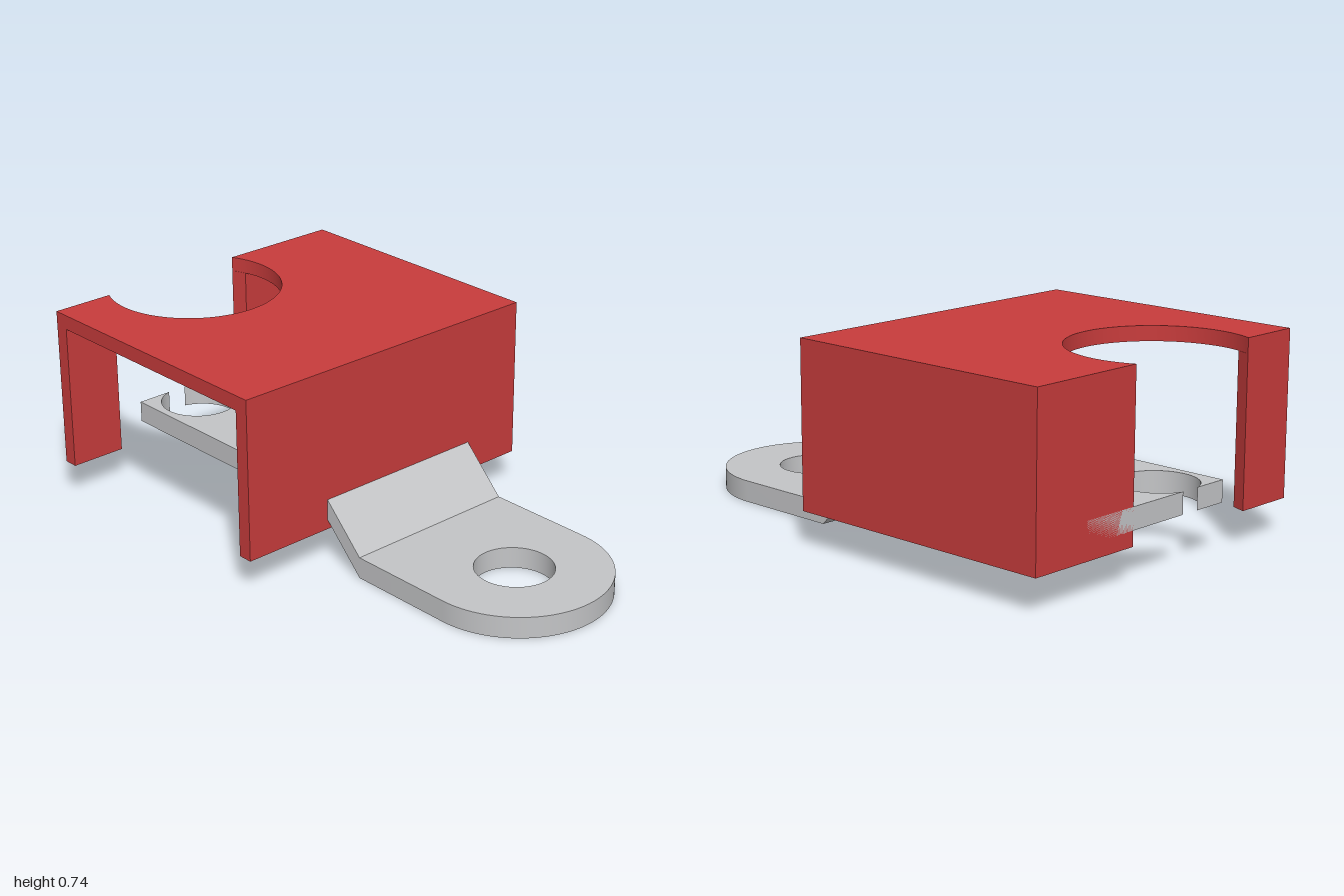
import * as THREE from 'three';
import { toCreasedNormals } from 'three/addons/utils/BufferGeometryUtils.js';

export function createModel() {
  const model = new THREE.Group();
  const red = new THREE.MeshStandardMaterial({ color: 0xc83c3c });
  red.name = 'red housing';
  const grey = new THREE.MeshStandardMaterial({ color: 0xc4c5c7 });
  grey.name = 'grey metal';

  const add = (name, geometry, material, parent) => {
    const mesh = new THREE.Mesh(geometry, material);
    mesh.name = name;
    parent.add(mesh);
    return mesh;
  };
  // Extrudes a plan outline (shape x, y = model x, z) between two heights
  const slab = (shape, bottom, top) => {
    const g = new THREE.ExtrudeGeometry(shape, { depth: top - bottom, bevelEnabled: false, curveSegments: 40 });
    g.rotateX(Math.PI / 2).translate(0, top, 0);
    return toCreasedNormals(g, 0.5);
  };
  const polygon = (points) => new THREE.Shape(points.map(([x, z]) => new THREE.Vector2(x, z)));

  const X0 = -1, X1 = 0.075, Z = 0.645, WALL = 0.055;
  const BOTTOM = 0.13, TOP = 0.735, ROOF = TOP - WALL;
  const CX = -0.86, CZ = 0.115, CUT = 0.325;

  // Ends of a circular cut where it meets the line at x
  const cutHalf = (r, x) => Math.sqrt(r * r - (x - CX) ** 2);

  // Rectangle with a round cut that breaks through its left edge
  const notched = (x1, z0, z1, r) => {
    const half = cutHalf(r, X0);
    const a = Math.atan2(half, X0 - CX);
    const s = polygon([[X0, z0], [x1, z0], [x1, z1], [X0, z1], [X0, CZ + half]]);
    s.absarc(CX, CZ, r, a, -a, true);
    s.closePath();
    return s;
  };

  // Housing, open at the front and underneath
  const housing = new THREE.Group();
  housing.name = 'housing';
  model.add(housing);
  add('roof', slab(notched(X1, -Z, Z, CUT), ROOF, TOP), red, housing);
  const inX0 = X0 + WALL, inX1 = X1 - WALL;
  const outer = cutHalf(CUT, X0), inner = cutHalf(CUT, inX0);
  add('walls', slab(polygon([
    [X0, -Z], [X1, -Z], [X1, Z], [inX1, Z], [inX1, -Z + WALL],
    [inX0, -Z + WALL], [inX0, CZ - inner], [X0, CZ - outer],
  ]), BOTTOM, ROOF), red, housing);
  add('frontLeg', slab(polygon([
    [X0, CZ + outer], [inX0, CZ + inner], [inX0, Z], [X0, Z],
  ]), BOTTOM, ROOF), red, housing);
  // Ledge along the foot of the back wall
  add('backLip', slab(polygon([
    [inX0, -Z + WALL], [inX1, -Z + WALL], [inX1, -0.515], [inX0, -0.515],
  ]), BOTTOM, 0.165), red, housing);

  // Bent metal strip with a hole at each end
  const strip = new THREE.Group();
  strip.name = 'bracket';
  model.add(strip);
  const Z0 = -0.405, Z1 = 0.29, MID = (Z0 + Z1) / 2, R = (Z1 - Z0) / 2;
  const T = 0.08, H = 0.185, BEND0 = 0.055, BEND1 = 0.24, LUG = 1 - R;
  add('plate', slab(notched(BEND0, Z0, Z1, 0.145), H, H + T), grey, strip);

  const slope = new THREE.ExtrudeGeometry(
    polygon([[BEND0, H], [BEND1, 0], [BEND1, T], [BEND0, H + T]]),
    { depth: Z1 - Z0, bevelEnabled: false });
  add('slope', slope.translate(0, 0, Z0), grey, strip);

  const lug = polygon([[BEND1, Z0], [LUG, Z0]]);
  lug.absarc(LUG, MID, R, -Math.PI / 2, Math.PI / 2, false);
  lug.lineTo(BEND1, Z1);
  lug.closePath();
  const hole = new THREE.Path();
  hole.absarc(LUG, MID, 0.142, 0, Math.PI * 2, true);
  lug.holes.push(hole);
  add('lug', slab(lug, 0, T), grey, strip);

  // Three rivets through the plate
  for (const [x, z] of [[-0.19, -0.235], [-0.42, 0.115], [-0.635, -0.235]]) {
    const rivet = new THREE.Group();
    rivet.name = 'rivet';
    rivet.position.set(x, 0, z);
    strip.add(rivet);
    add('head', new THREE.CylinderGeometry(0.105, 0.105, 0.07, 40), grey, rivet).position.y = 0.3;
    add('shank', new THREE.CylinderGeometry(0.057, 0.057, 0.09, 32), grey, rivet).position.y = 0.145;
  }
  return model;
}
